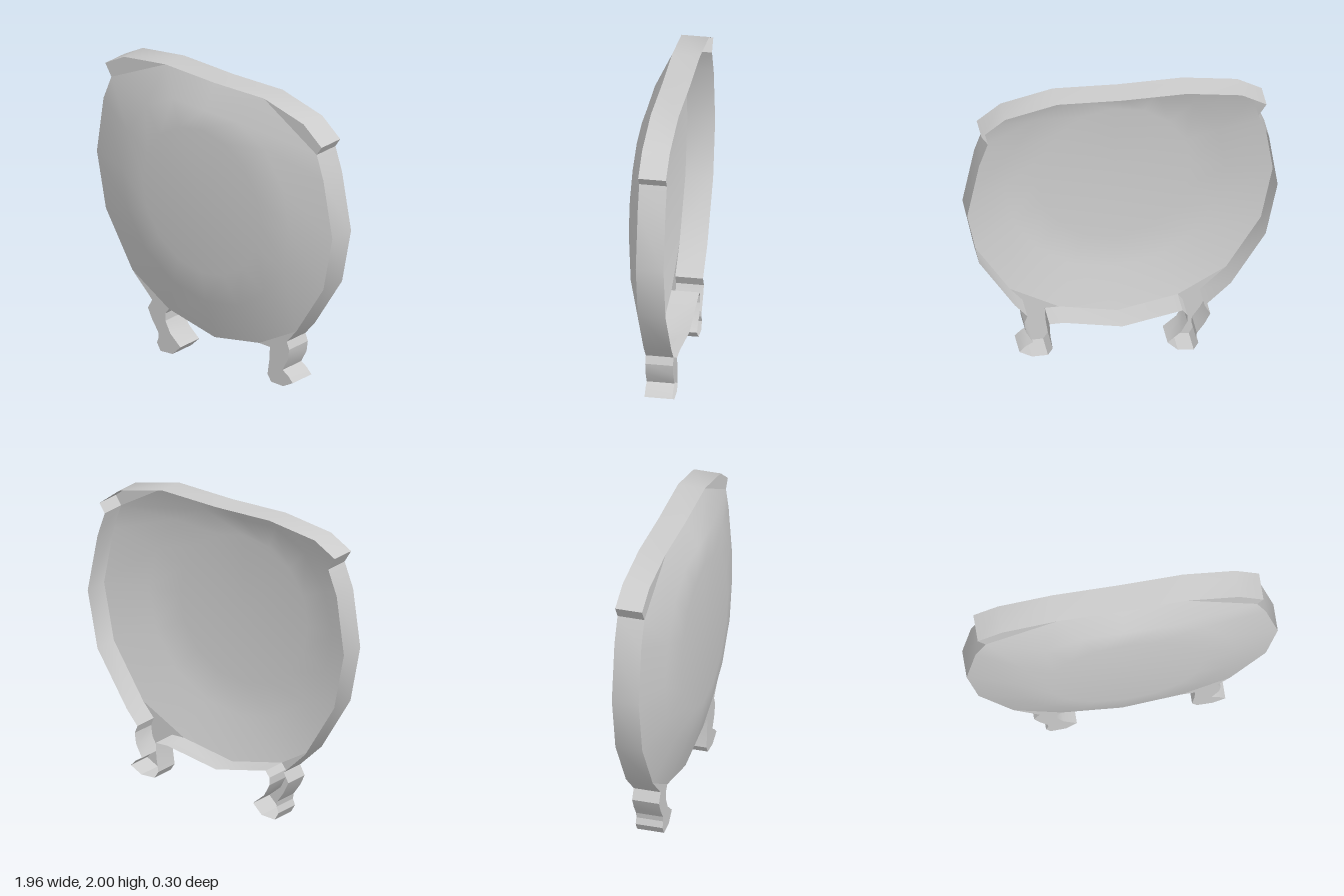
import * as THREE from 'three';
import { toCreasedNormals } from 'three/addons/utils/BufferGeometryUtils.js';

const BACK = -0.15, RIM = 0.025, CENTRE_Y = 1.21;

// Dome rim, clockwise from the top
const rim = [
  [0, 1.98], [0.41, 2], [0.85, 1.75], [0.905, 1.59], [0.98, 1.21], [0.905, 0.84],
  [0.68, 0.485], [0.37, 0.31], [0, 0.235], [-0.38, 0.31], [-0.685, 0.485], [-0.905, 0.84],
  [-0.98, 1.21], [-0.925, 1.59], [-0.86, 1.755], [-0.41, 1.98],
];

// Flat parts that stick out between rim point "after" and the next one
const extras = [
  { name: 'leftTopCorner', after: 1, points: [[0.74, 1.925], [0.89, 1.81]] },
  { name: 'leftLeg', after: 6, points: [
    [0.6, 0.39], [0.62, 0.34], [0.61, 0.27], [0.565, 0.185], [0.61, 0.16], [0.65, 0.12],
    [0.57, 0.075], [0.47, 0.075], [0.44, 0.12], [0.455, 0.22], [0.46, 0.31]] },
  { name: 'rightLeg', after: 9, points: [
    [-0.41, 0.27], [-0.41, 0.22], [-0.37, 0.145], [-0.285, 0.075], [-0.35, 0.01], [-0.45, 0],
    [-0.48, 0.05], [-0.465, 0.09], [-0.47, 0.125], [-0.52, 0.195], [-0.555, 0.265], [-0.52, 0.33]] },
  { name: 'rightTopCorner', after: 14, points: [[-0.91, 1.835], [-0.755, 1.925]] },
];

function indexed(positions, indices) {
  const g = new THREE.BufferGeometry();
  g.setAttribute('position', new THREE.Float32BufferAttribute(positions, 3));
  g.setIndex(indices);
  g.computeVertexNormals();
  return g;
}

// Shallow dome: rings from the rim inwards, closed by a centre point
function domeGeometry() {
  const n = rim.length;
  const circle = (r, z, maxY) => rim.map((_, i) => {
    const a = (i / n) * Math.PI * 2;
    return [r * Math.sin(a), Math.min(CENTRE_Y + r * Math.cos(a), maxY), z];
  });
  const rings = [rim.map(([x, y]) => [x, y, RIM]), circle(0.7, 0.112, 1.82), circle(0.49, 0.15, 1.7)];
  const positions = [...rings.flat(2), 0, CENTRE_Y, 0.152];
  const indices = [];
  for (let r = 0; r < rings.length; r++) {
    for (let i = 0; i < n; i++) {
      const a = r * n + i, b = r * n + (i + 1) % n;
      if (r === rings.length - 1) indices.push(a, rings.length * n, b);
      else indices.push(a, a + n, b, b, a + n, b + n);
    }
  }
  return indexed(positions, indices);
}

// Side wall: the whole outline swept from the rim to the open back
function wallGeometry(outline) {
  const n = outline.length;
  const positions = [], indices = [];
  outline.forEach(([x, y], i) => {
    positions.push(x, y, RIM, x, y, BACK);
    const a = 2 * i, b = 2 * ((i + 1) % n);
    indices.push(a, b, b + 1, a, b + 1, a + 1);
  });
  return toCreasedNormals(indexed(positions, indices), 0.45);
}

export function createModel() {
  const model = new THREE.Group();
  model.name = 'shell';
  const material = new THREE.MeshStandardMaterial({ color: 0xcccccc, side: THREE.DoubleSide });
  const add = (name, geometry) => {
    const mesh = new THREE.Mesh(geometry, material);
    mesh.name = name;
    model.add(mesh);
  };

  add('dome', domeGeometry());

  const outline = rim.flatMap((p, i) => [p, ...(extras.find((e) => e.after === i)?.points ?? [])]);
  add('sideWall', wallGeometry(outline));

  // Flat front plates of the corners and legs
  for (const { name, after, points } of extras) {
    const corners = [rim[after], ...points, rim[after + 1]].map(([x, y]) => new THREE.Vector2(x, y));
    const plate = new THREE.ShapeGeometry(new THREE.Shape(corners));
    plate.translate(0, 0, RIM);
    add(name, plate);
  }
  return model;
}
